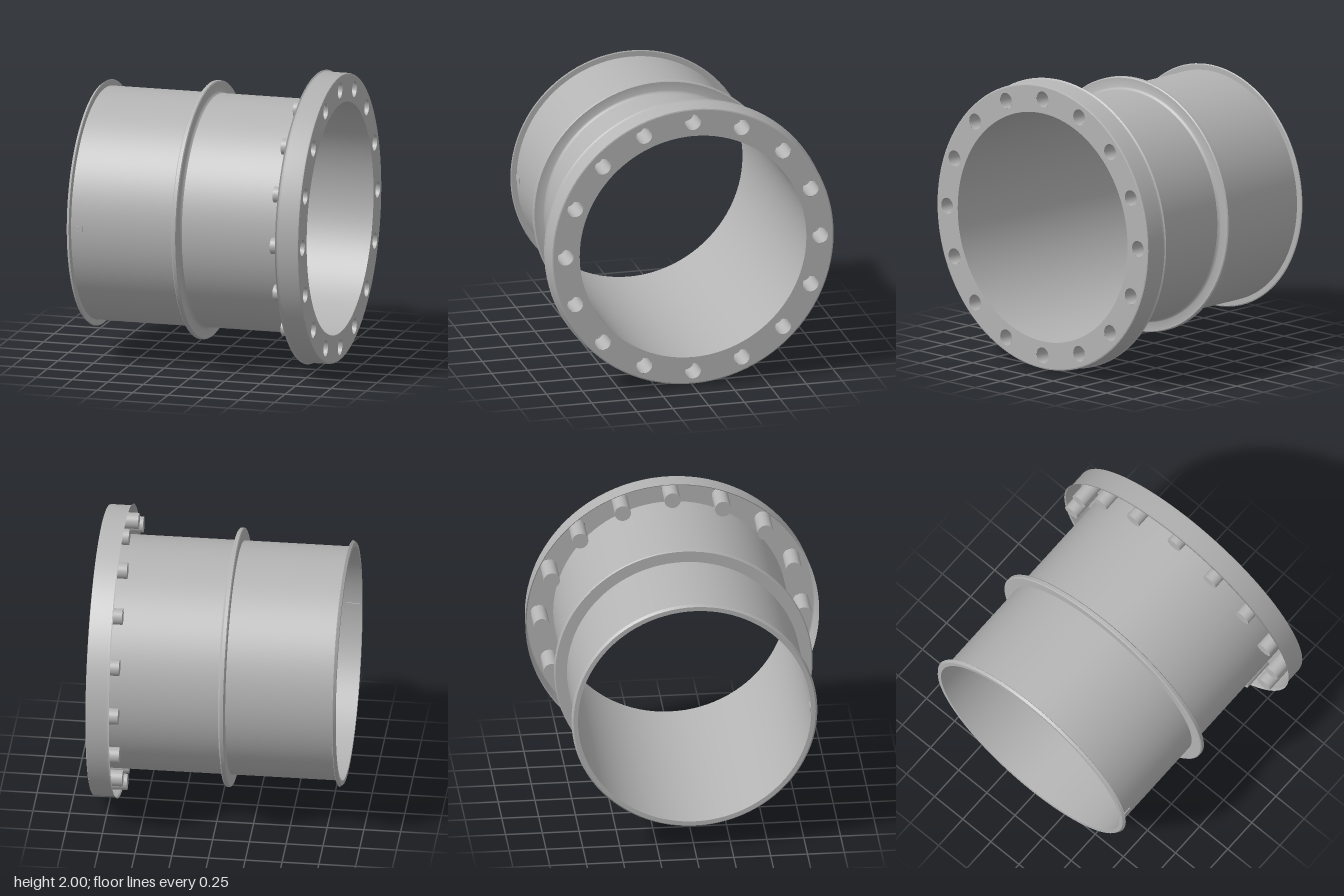
import * as THREE from 'three';
import { toCreasedNormals } from 'three/addons/utils/BufferGeometryUtils.js';

const SEGMENTS = 96;
const BOLTS = 16, BOLT_CIRCLE = 0.89, BOLT_RADIUS = 0.055;

export function createModel() {
  const root = new THREE.Group();
  root.name = 'flangedPipe';
  // Thin sheet surfaces are seen from both sides
  const metal = new THREE.MeshStandardMaterial({ color: 0xb4b4b4, side: THREE.DoubleSide });
  metal.name = 'grey metal';

  // Everything is modelled about the y axis, then the axis is laid along +x
  const body = new THREE.Group();
  body.name = 'pipeBody';
  body.rotation.z = -Math.PI / 2;
  body.position.y = 1;
  root.add(body);

  const add = (name, geometry, parent = body) => {
    const mesh = new THREE.Mesh(geometry, metal);
    mesh.name = name;
    parent.add(mesh);
    return mesh;
  };
  // Profile points are [radius, position along the pipe]
  const turned = (name, points) => add(name, toCreasedNormals(
    new THREE.LatheGeometry(points.map(([r, a]) => new THREE.Vector2(r, a)), SEGMENTS), 0.5));

  turned('tube', [[0.792, -0.842], [0.792, 0.84]]);

  // Flared lip at the plain end
  turned('endLip', [[0.792, -0.842], [0.822, -0.842], [0.835, -0.824], [0.828, -0.82], [0.792, -0.82]]);

  // Raised collar with small rounded edges and a fillet at its foot
  turned('collar', [[0.792, -0.09], [0.87, -0.09], [0.877, -0.084], [0.877, -0.061],
    [0.87, -0.055], [0.81, -0.055], [0.8, -0.05], [0.792, -0.04]]);

  // Flange rim, open at the back with a slightly flared edge
  turned('flangeRim', [[0.975, 0.84], [0.983, 0.837], [0.986, 0.828], [0.986, 0.7], [0.99, 0.686], [0.998, 0.678]]);

  // Flange face with a circle of holes
  const face = new THREE.Shape().absarc(0, 0, 0.975, 0, Math.PI * 2, false);
  face.holes.push(new THREE.Path().absarc(0, 0, 0.792, 0, Math.PI * 2, true));
  const spots = Array.from({ length: BOLTS }, (_, i) => {
    const t = i / BOLTS * Math.PI * 2;
    return [Math.cos(t) * BOLT_CIRCLE, Math.sin(t) * BOLT_CIRCLE];
  });
  for (const [x, y] of spots) {
    face.holes.push(new THREE.Path().absarc(x, y, BOLT_RADIUS, 0, Math.PI * 2, true));
  }
  const faceGeometry = new THREE.ShapeGeometry(face, 48);
  faceGeometry.rotateX(-Math.PI / 2);
  add('flangeFace', faceGeometry).position.y = 0.84;

  // Closed sockets behind the holes; the top and bottom ones are shorter
  const sockets = new THREE.Group();
  sockets.name = 'boltSockets';
  body.add(sockets);
  spots.forEach(([x, z], i) => {
    const back = i % (BOLTS / 2) === 0 ? 0.65 : 0.624;
    const profile = [[0, back], [BOLT_RADIUS, back], [BOLT_RADIUS, 0.84]]
      .map(([r, a]) => new THREE.Vector2(r, a));
    const socket = add('boltSocket', toCreasedNormals(new THREE.LatheGeometry(profile, 32), 0.5), sockets);
    socket.position.set(x, 0, z);
  });

  // Small locating key through the wall near the plain end
  add('locatingKey', new THREE.BoxGeometry(0.09, 0.036, 0.012), root).position.set(-0.782, 1, 0.791);

  return root;
}
